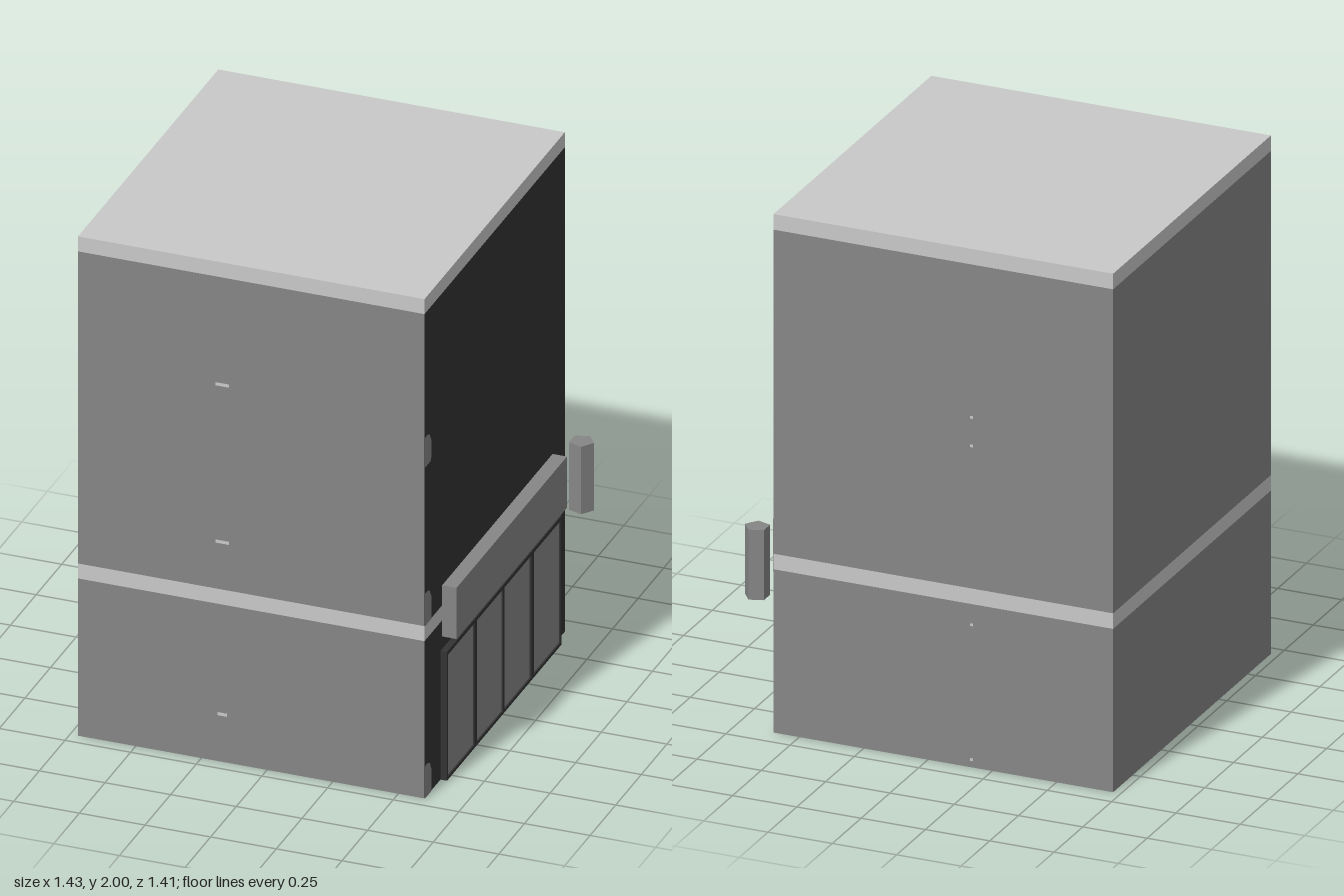
import * as THREE from 'three';

export function createModel() {
  const model = new THREE.Group();
  const material = (name, color) => {
    const m = new THREE.MeshStandardMaterial({ color });
    m.name = name;
    return m;
  };
  const grey = material('midGrey', 0x868686);
  const light = material('lightGrey', 0xc9c9c9);
  const dark = material('darkGrey', 0x333333);

  const add = (name, geometry, mat, parent = model) => {
    const mesh = new THREE.Mesh(geometry, mat);
    mesh.name = name;
    parent.add(mesh);
    return mesh;
  };
  // Box given by its minimum and maximum corners
  const block = (name, mat, x0, x1, y0, y1, z0, z1, parent) => {
    const mesh = add(name, new THREE.BoxGeometry(x1 - x0, y1 - y0, z1 - z0), mat, parent);
    mesh.position.set((x0 + x1) / 2, (y0 + y1) / 2, (z0 + z1) / 2);
    return mesh;
  };

  // Building: stacked storeys with a dark street facade on +x
  const L = -0.72, R = 0.6, B = -0.67, F = 0.7;
  const walls = [dark, grey, grey, grey, grey, grey];
  block('groundStorey', walls, L, R, 0, 0.63, B, F);
  block('stringCourse', light, L, R, 0.63, 0.69, B, F);
  block('upperStoreys', walls, L, R, 0.69, 1.94, B, F);
  block('roofCap', light, L, R, 1.94, 2, B, F);

  // Worn plaster patches along the front edge of the facade
  const patches = [[0, 0.13, false], [0.69, 0.82, false], [1.325, 1.445, true]];
  for (const [y0, y1, cutBelow] of patches) {
    const s = new THREE.Shape();
    s.moveTo(-F, y0);
    if (cutBelow) {
      s.lineTo(-0.645, y0);
      s.lineTo(-0.638, y0 + 0.015);
    } else s.lineTo(-0.638, y0);
    s.lineTo(-0.638, y1 - 0.04);
    s.lineTo(-0.655, y1 - 0.008);
    s.lineTo(-0.675, y1);
    s.lineTo(-F, y1);
    const patch = add('plasterPatch', new THREE.ShapeGeometry(s), grey);
    patch.rotation.y = Math.PI / 2;
    patch.position.x = R + 0.002;
  }

  // Shopfront: dark frame with four recessed panels
  const shop = new THREE.Group();
  shop.name = 'shopfront';
  model.add(shop);
  const X = 0.625;
  block('frameHead', dark, R, X, 0.5, 0.515, -0.575, 0.545, shop);
  block('frameSill', dark, R, X, 0, 0.012, -0.575, 0.545, shop);
  for (const [z0, z1] of [[-0.575, -0.563], [-0.302, -0.278], [-0.018, -0.004], [0.25, 0.276], [0.535, 0.545]])
    block('frameUpright', dark, R, X, 0.012, 0.5, z0, z1, shop);
  for (const [z0, z1] of [[-0.563, -0.302], [-0.278, -0.018], [-0.004, 0.25], [0.276, 0.535]])
    block('shopPanel', grey, R, X - 0.006, 0.012, 0.5, z0, z1, shop);

  // Fascia board above the shopfront
  block('fasciaBoard', grey, R, 0.655, 0.565, 0.77, -0.55, 0.528);

  // Five-sided hanging sign with a corner pointing outwards
  const prism = new THREE.CylinderGeometry(0.047, 0.047, 0.27, 5).toNonIndexed();
  prism.computeVertexNormals();
  const sign = add('hangingSign', prism, grey);
  sign.rotation.y = Math.PI / 2;
  sign.position.set(0.668, 0.647, -0.66);

  // Small pale chips in the front and back walls
  for (const [y, w] of [[1.51, 0.05], [0.88, 0.05], [0.19, 0.035]])
    block('frontChip', light, -0.17 - w / 2, -0.17 + w / 2, y - 0.006, y + 0.006, F - 0.002, F + 0.001);
  for (const y of [1.35, 1.24, 0.55, 0.03])
    block('backChip', light, -0.175, -0.165, y - 0.005, y + 0.005, B - 0.001, B + 0.002);

  return model;
}
